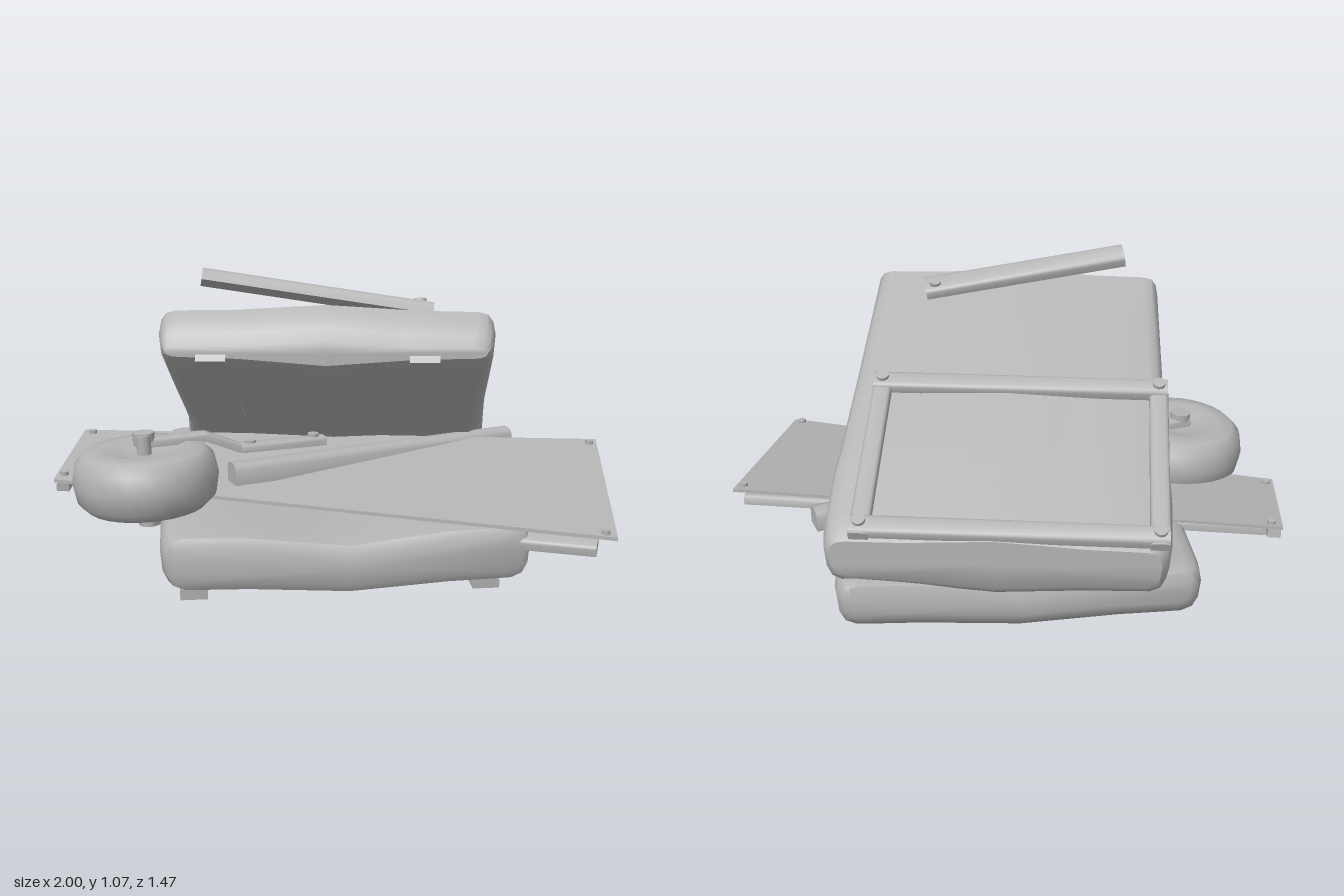
import * as THREE from 'three';
import { toCreasedNormals } from 'three/addons/utils/BufferGeometryUtils.js';
import { ConvexGeometry } from 'three/addons/geometries/ConvexGeometry.js';

const grey = new THREE.MeshStandardMaterial({ color: 0xb4b4b4 });
grey.name = 'scrapGrey';
const V = (p) => new THREE.Vector3(...p);

function add(parent, name, geometry) {
  const mesh = new THREE.Mesh(geometry, grey);
  mesh.name = name;
  parent.add(mesh);
  return mesh;
}

// Bar with softly rounded upper edges running from a to b
function beam(parent, name, a, b, w, h, up = [0, 1, 0]) {
  const A = V(a), B = V(b), c = Math.min(w, h) * 0.3;
  const section = new THREE.Shape([
    [-w / 2, -h / 2], [w / 2, -h / 2], [w / 2, h / 2 - c], [w / 2 - c * 0.4, h / 2 - c * 0.3],
    [w / 2 - c * 1.2, h / 2], [-w / 2 + c * 1.2, h / 2], [-w / 2 + c * 0.4, h / 2 - c * 0.3], [-w / 2, h / 2 - c],
  ].map(([x, y]) => new THREE.Vector2(x, y)));
  const geo = new THREE.ExtrudeGeometry(section, { depth: A.distanceTo(B), bevelEnabled: false });
  const z = B.clone().sub(A).normalize();
  const x = V(up).cross(z).normalize();
  const y = z.clone().cross(x);
  geo.applyMatrix4(new THREE.Matrix4().makeBasis(x, y, z).setPosition(A));
  return add(parent, name, toCreasedNormals(geo, 0.95));
}

function bolt(parent, p, r = 0.022, h = 0.025, up = [0, 1, 0]) {
  const mesh = add(parent, 'bolt', new THREE.CylinderGeometry(r, r, h, 12));
  mesh.position.set(...p);
  mesh.quaternion.setFromUnitVectors(new THREE.Vector3(0, 1, 0), V(up).normalize());
}

// Right half of the rounded panel section: [side, height] from bottom to top
const half = [
  [0, 0], [0.3, 0], [0.55, 0], [0.82, 0], [0.9, 0.01], [0.96, 0.1], [0.99, 0.3],
  [1, 0.65], [0.985, 0.85], [0.955, 0.96], [0.9, 1], [0.55, 1], [0.3, 1], [0, 1],
];
const ring = [...half, ...half.slice(1, -1).reverse().map(([s, t]) => [-s, t])];

// Padded panel lofted front to back; each row is [z, bottom, top, half width]
function paddedPanel(parent, name, rows, topBulge, bottomBulge) {
  const pos = [], idx = [], n = ring.length;
  for (const [z, lo, hi, w] of rows) {
    for (const [s, t] of ring) {
      const k = Math.max(0, 1 - Math.abs(s) / 0.65);
      pos.push(s * w, lo + (hi - lo) * t + k * (t * topBulge + (1 - t) * bottomBulge), z);
    }
  }
  for (let i = 0; i < rows.length - 1; i++) {
    for (let j = 0; j < n; j++) {
      const a = i * n + j, b = i * n + (j + 1) % n;
      idx.push(a, a + n, b, b, a + n, b + n);
    }
  }
  // End caps
  for (const r of [0, rows.length - 1]) {
    const [z, lo, hi] = rows[r], c = pos.length / 3;
    pos.push(0, (lo + hi + topBulge + bottomBulge) / 2, z);
    for (let j = 0; j < n; j++) {
      const a = r * n + j, b = r * n + (j + 1) % n;
      idx.push(c, ...(r ? [b, a] : [a, b]));
    }
  }
  const geo = new THREE.BufferGeometry();
  geo.setAttribute('position', new THREE.Float32BufferAttribute(pos, 3));
  geo.setIndex(idx);
  return add(parent, name, toCreasedNormals(geo, 0.75));
}

export function createModel() {
  const model = new THREE.Group();
  model.name = 'scrapPile';

  // Lower panel with the frame on its underside
  const lower = new THREE.Group();
  lower.name = 'lowerPanelGroup';
  model.add(lower);
  paddedPanel(lower, 'lowerPanel', [
    [0.57, 0.07, 0.195, 0.575], [0.555, 0.045, 0.222, 0.6], [0.5, 0.04, 0.232, 0.617],
    [0.2, 0.06, 0.25, 0.62], [-0.2, 0.085, 0.27, 0.62], [-0.5, 0.105, 0.292, 0.62],
    [-0.57, 0.115, 0.3, 0.61], [-0.605, 0.15, 0.29, 0.59], [-0.615, 0.18, 0.26, 0.57],
  ], -0.045, -0.025);
  for (const x of [-0.51, 0.46]) {
    beam(lower, 'lowerRunner', [x, 0.025, 0.54], [x, 0.075, -0.36], 0.09, 0.04);
    beam(lower, 'runnerPad', [x, 0.063, -0.25], [x, 0.069, -0.36], 0.1, 0.03);
  }
  for (const [z, y] of [[0.19, 0.04], [-0.31, 0.068]]) {
    beam(lower, 'lowerCrossBar', [-0.54, y, z], [0.49, y, z], 0.08, 0.045);
  }

  // Upper panel leaning on the pile
  const upper = new THREE.Group();
  upper.name = 'upperPanelGroup';
  upper.rotation.y = -0.14;
  model.add(upper);
  paddedPanel(upper, 'upperPanel', [
    [0.602, 0.812, 0.845, 0.505], [0.575, 0.787, 0.882, 0.52], [0.545, 0.765, 0.915, 0.528],
    [0.5, 0.74, 0.943, 0.535], [0.25, 0.605, 0.84, 0.545], [0, 0.475, 0.735, 0.555],
    [-0.29, 0.325, 0.612, 0.57], [-0.37, 0.23, 0.578, 0.58], [-0.56, 0.265, 0.497, 0.574],
    [-0.63, 0.285, 0.466, 0.56], [-0.655, 0.315, 0.45, 0.54],
  ], 0.02, -0.025);
  for (const x of [-0.36, 0.31]) {
    beam(upper, 'upperRunner', [x, 0.825, 0.6], [x, 0.49, 0], 0.095, 0.055);
  }

  // Rectangular frame lying on the upper panel
  const tilt = [0, 0.92, -0.39];
  const L = -0.53, R = 0.44, front = [0.73, -0.05], back = [0.487, -0.625];
  for (const x of [L, R]) {
    beam(upper, 'frameSideBar', [x, front[0] + 0.015, front[1] + 0.04],
      [x, back[0] - 0.012, back[1] - 0.035], 0.065, 0.035, tilt);
  }
  for (const [y, z] of [front, back]) {
    beam(upper, 'frameCrossBar', [L - 0.03, y + 0.008, z], [R + 0.03, y + 0.008, z], 0.07, 0.04, tilt);
    for (const x of [L, R]) bolt(upper, [x, y + 0.03, z - 0.005], 0.022, 0.02, tilt);
  }

  // Loose bar at the top of the upper panel
  beam(model, 'looseTopBar', [-0.46, 1.047, 0.4], [0.28, 0.927, 0.42], 0.085, 0.042, tilt);
  bolt(model, [0.245, 0.953, 0.405], 0.022, 0.02, tilt);

  // Tilted sheet between the panels
  const sheetY = (x, z) => 0.35 + 0.033 * (x - 1) - 0.1424 * (z + 0.04);
  const corners = [[-0.92, -0.42], [1.0, -0.04], [0.84, 0.73], [-1.0, 0.02]];
  const hull = corners.flatMap(([x, z]) => [0, -0.012].map((d) => new THREE.Vector3(x, sheetY(x, z) + d, z)));
  add(model, 'sheet', new ConvexGeometry(hull));
  // Batten under the left end and a bar hanging below the sheet
  beam(model, 'sheetEndBatten', [-0.895, sheetY(-0.895, -0.42) - 0.03, -0.41],
    [-0.97, sheetY(-0.97, 0.02) - 0.03, 0.02], 0.045, 0.036);
  beam(model, 'sheetBar', [0.965, 0.287, 0.01], [-0.93, 0.25, -0.28], 0.05, 0.036);
  for (const [x, z] of corners) {
    const bx = x * 0.965, bz = z + (z > 0 ? -0.035 : 0.035);
    bolt(model, [bx, sheetY(bx, bz) + 0.004, bz], 0.015, 0.016);
  }

  // Loose bars under and on the sheet
  beam(model, 'bottomCrossBar', [-0.66, 0.18, 0.04], [0.81, 0.172, 0.62], 0.09, 0.036, [0, 1, 0.25]);
  beam(model, 'middleCrossBar', [-0.37, 0.32, 0.16], [0.7, 0.325, -0.215], 0.08, 0.075);

  // Wheel lying flat: tyre with a dished hub
  const wheel = new THREE.Group();
  wheel.name = 'wheel';
  wheel.position.set(-0.665, 0.335, 0.22);
  wheel.rotation.z = 0.04;
  model.add(wheel);
  const profile = [
    [0, -0.08], [0.06, -0.08], [0.1, -0.09], [0.15, -0.105], [0.205, -0.098], [0.238, -0.065],
    [0.25, 0], [0.238, 0.065], [0.205, 0.098], [0.15, 0.105], [0.1, 0.09], [0.06, 0.08], [0, 0.08],
  ].map(([x, y]) => new THREE.Vector2(x, y));
  add(wheel, 'tyre', new THREE.LatheGeometry(profile, 28));
  const axle = add(wheel, 'axle', new THREE.CylinderGeometry(0.025, 0.025, 0.32, 12));
  axle.position.y = -0.015;
  bolt(wheel, [0, 0.135, -0.025], 0.038, 0.03);
  bolt(wheel, [0, -0.16, -0.025], 0.038, 0.04);

  // Cranked arm holding the wheel
  const arm = [[-0.7, 0.45, 0.2], [-0.46, 0.45, 0.13], [-0.34, 0.395, 0.095], [-0.03, 0.39, 0]];
  for (let i = 0; i < 3; i++) beam(model, 'wheelArm', arm[i], arm[i + 1], 0.06, 0.03);
  for (const [x, z] of [[-0.3, 0.083], [-0.07, 0.012]]) bolt(model, [x, 0.405, z], 0.02, 0.025);

  return model;
}
